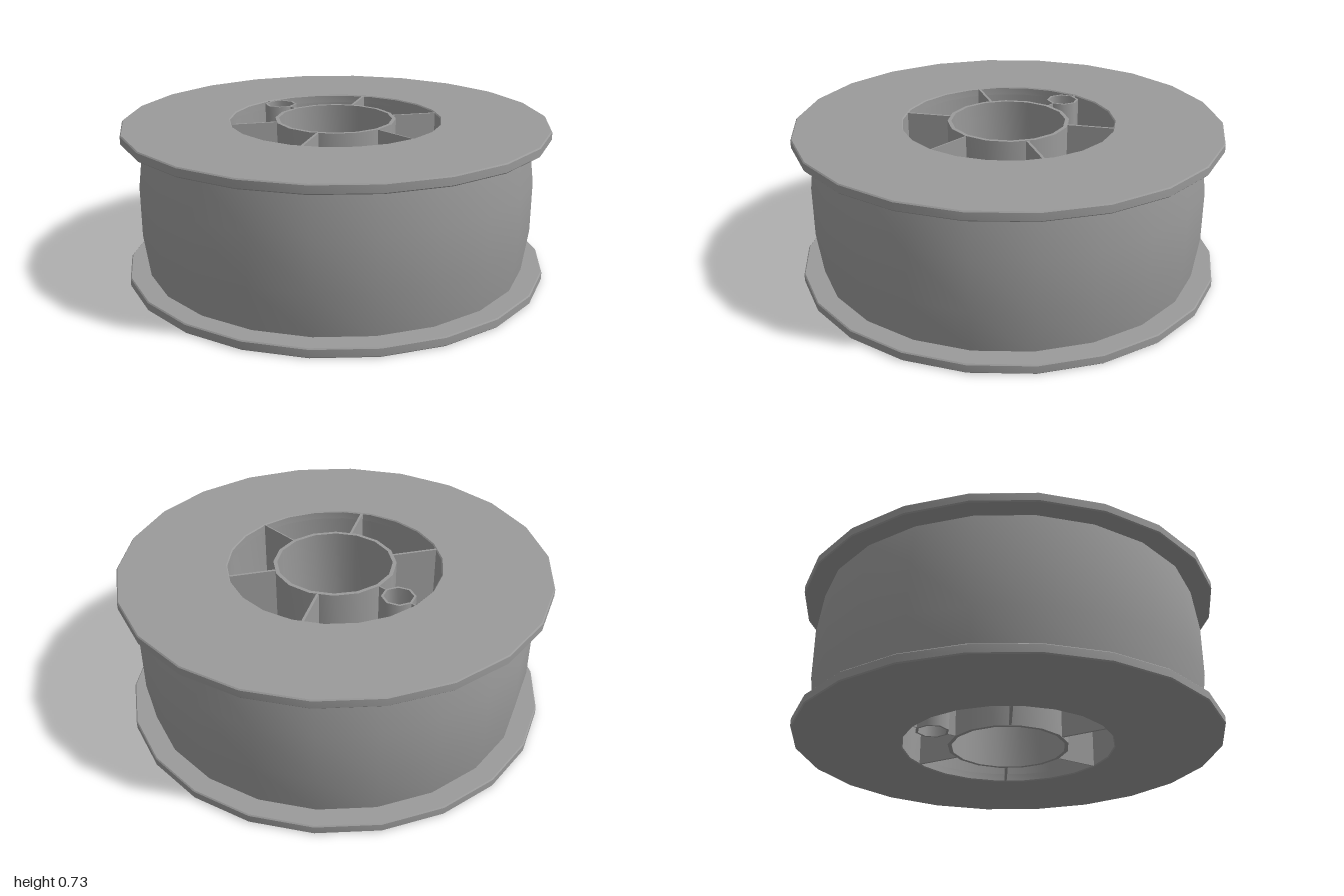
import * as THREE from 'three';
import { toCreasedNormals } from 'three/addons/utils/BufferGeometryUtils.js';

const HEIGHT = 0.725, FLANGE = 0.044, HOLE = 0.496, SIDES = 22;

export function createModel() {
  const group = new THREE.Group();
  group.name = 'spool';
  const material = new THREE.MeshStandardMaterial({ color: 0x9a9a9a });

  function add(name, geometry, x = 0, y = 0, z = 0) {
    const mesh = new THREE.Mesh(geometry, material);
    mesh.name = name;
    mesh.position.set(x, y, z);
    group.add(mesh);
    return mesh;
  }

  // Turned part with a polygon corner on the x axis; profile runs upward on outer faces
  function turned(profile, sides, crease = 0.5) {
    const points = profile.map(([r, y]) => new THREE.Vector2(r, y));
    return toCreasedNormals(new THREE.LatheGeometry(points, sides, Math.PI / 2), crease);
  }

  // Open-ended pipe with wall thickness and flat rims
  function pipe(outer, inner, sides, crease) {
    return turned([[outer, 0], [outer, HEIGHT], [inner, HEIGHT], [inner, 0], [outer, 0]], sides, crease);
  }

  // Two flat flanges, slightly chamfered at the rim and the hole
  const c = 0.005;
  const flange = turned([
    [HOLE + c, 0], [1 - c, 0], [1, c], [1, FLANGE - c], [1 - c, FLANGE],
    [HOLE + c, FLANGE], [HOLE, FLANGE - c], [HOLE, c], [HOLE + c, 0],
  ], SIDES);
  add('bottomFlange', flange);
  add('topFlange', flange, 0, HEIGHT - FLANGE);

  // Bulging winding between the flanges
  add('winding', turned([
    [0.903, FLANGE], [0.93, 0.245], [0.93, 0.48], [0.903, HEIGHT - FLANGE],
  ], SIDES));

  // Inner wall of the core, facing the axis
  add('coreWall', turned([[HOLE, HEIGHT - FLANGE + c], [HOLE, FLANGE - c]], SIDES));

  // Central hub and the small side tube
  add('hub', pipe(0.285, 0.267, 16, 0.5));
  add('sideTube', pipe(0.078, 0.067, 8, 0.85), -0.4);

  // Radial webs from hub to core wall
  function web(angle, from, to, thickness) {
    const mid = (from + to) / 2;
    const mesh = add('web', new THREE.BoxGeometry(to - from, HEIGHT - 0.004, thickness),
      Math.cos(angle) * mid, HEIGHT / 2, -Math.sin(angle) * mid);
    mesh.rotation.y = angle;
  }
  for (const i of [1, 2, 4, 5]) web(i * Math.PI / 3, 0.272, 0.496, 0.012);
  web(0, 0.275, 0.497, 0.006);
  // The web on the tube side is split by the tube
  web(Math.PI, 0.275, 0.327, 0.006);
  web(Math.PI, 0.473, 0.497, 0.006);

  return group;
}
